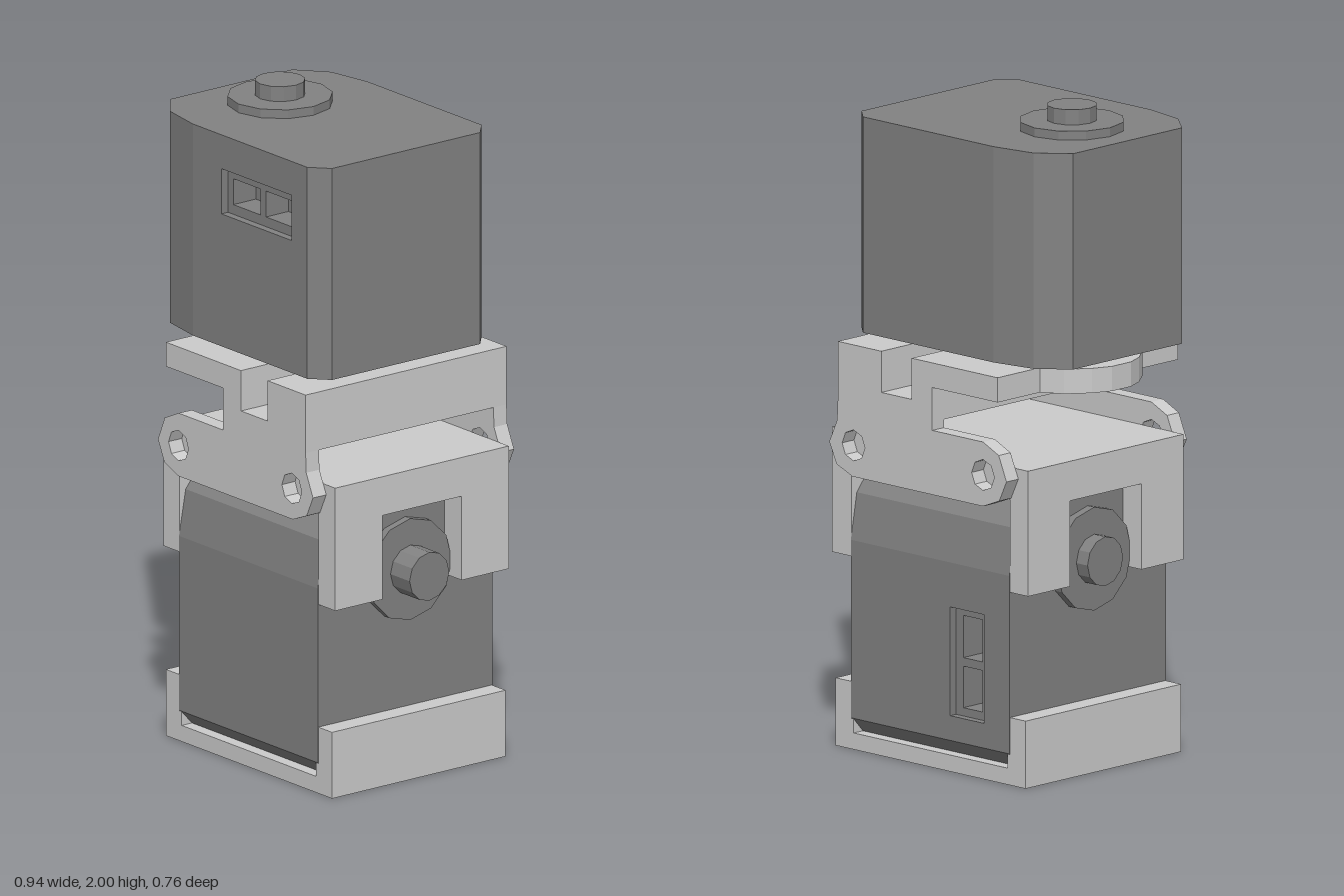
import * as THREE from 'three';

const light = new THREE.MeshStandardMaterial({ color: 0xcccccc, flatShading: true });
const dark = new THREE.MeshStandardMaterial({ color: 0x828282, flatShading: true });

function add(parent, name, geometry, material) {
  const mesh = new THREE.Mesh(geometry, material);
  mesh.name = name;
  parent.add(mesh);
  return mesh;
}

const outline = (pts) => new THREE.Shape(pts.map(([x, y]) => new THREE.Vector2(x, y)));

// x-y outline extruded from z0 to z1
const alongZ = (shape, z0, z1) =>
  new THREE.ExtrudeGeometry(shape, { depth: z1 - z0, bevelEnabled: false, curveSegments: 4 }).translate(0, 0, z0);

// x-z outline extruded from y0 to y1
const alongY = (pts, y0, y1) =>
  alongZ(outline(pts.map(([x, z]) => [x, -z])), y0, y1).rotateX(-Math.PI / 2);

// z-y outline (symmetric in z) extruded from x0 to x1
const alongX = (pts, x0, x1) => alongZ(outline(pts), x0, x1).rotateY(Math.PI / 2);

function rectHole(shape, x0, x1, y0, y1) {
  shape.holes.push(new THREE.Path([[x0, y0], [x0, y1], [x1, y1], [x1, y0]].map(([x, y]) => new THREE.Vector2(x, y))));
}

// Servo motor: output axis is local y, body stands on local y = 0
function createServo(name) {
  const servo = new THREE.Group();
  servo.name = name;
  const H = 0.655, y0 = 0.41, y1 = 0.55, x0 = 0.135, x1 = 0.465;
  const back = [[0.595, 0.28], [0.595, -0.28], [0.54, -0.33], [0, -0.33], [-0.14, -0.305],
    [-0.23, -0.23], [-0.23, 0.23], [-0.14, 0.305], [0, 0.33]];
  const full = [...back, [0.54, 0.33]];
  const notched = [...back, [x0, 0.33], [x0, 0.22], [x1, 0.22], [x1, 0.33], [0.54, 0.33]];

  // Body in three layers, the middle one notched for the socket
  add(servo, 'bodyLower', alongY(full, 0, y0), dark);
  add(servo, 'bodyMiddle', alongY(notched, y0, y1), dark);
  add(servo, 'bodyUpper', alongY(full, y1, H), dark);

  // Twin socket insert
  const insert = outline([[x0, y0], [x1, y0], [x1, y1], [x0, y1]]);
  rectHole(insert, 0.16, 0.288, 0.44, 0.52);
  rectHole(insert, 0.314, 0.44, 0.44, 0.52);
  add(servo, 'socketInsert', alongZ(insert, 0.22, 0.305), dark);

  // Horn discs and shaft
  for (const [part, r, a, b] of [['hornDiscs', 0.157, -0.025, H + 0.027], ['outputShaft', 0.075, -0.115, H + 0.073]]) {
    add(servo, part, new THREE.CylinderGeometry(r, r, b - a, 12).translate(0, (a + b) / 2, 0), dark);
  }
  return servo;
}

export function createModel() {
  const model = new THREE.Group();
  model.name = 'servoArm';

  // Upper servo, axis upright
  const upper = createServo('upperServo');
  upper.position.set(-0.24, 1.272, 0);
  model.add(upper);

  // Lower servo, axis across the model with the nose up
  const lower = createServo('lowerServo');
  lower.quaternion.setFromRotationMatrix(new THREE.Matrix4().makeBasis(
    new THREE.Vector3(0, -1, 0), new THREE.Vector3(-1, 0, 0), new THREE.Vector3(0, 0, -1)));
  lower.position.set(0.35, 0.635, 0);
  model.add(lower);

  // Base cradle
  add(model, 'baseCradle', alongZ(outline([[-0.37, 0], [0.415, 0], [0.415, 0.205], [0.34, 0.205],
    [0.34, 0.05], [-0.295, 0.05], [-0.295, 0.205], [-0.37, 0.205]]), -0.328, 0.328), light);

  // Hinge yoke: top plate and two slotted cheeks
  const yoke = new THREE.Group();
  yoke.name = 'hingeYoke';
  model.add(yoke);
  add(yoke, 'yokeTop', new THREE.BoxGeometry(0.655, 0.098, 0.656).translate(0.0225, 0.916, 0), light);
  const cheek = [[-0.328, 0.585], [-0.15, 0.585], [-0.15, 0.845], [0.15, 0.845], [0.15, 0.585],
    [0.328, 0.585], [0.328, 0.965], [-0.328, 0.965]];
  add(yoke, 'yokeRightCheek', alongX(cheek, -0.38, -0.305), light);
  add(yoke, 'yokeLeftCheek', alongX(cheek, 0.35, 0.43), light);

  // Upper bracket: notched deck
  const bracket = new THREE.Group();
  bracket.name = 'upperBracket';
  model.add(bracket);
  add(bracket, 'deck', alongZ(outline([[-0.035, 1.065], [0.355, 1.065], [0.355, 1.245], [0.175, 1.245],
    [0.175, 1.12], [0.05, 1.12], [0.05, 1.245], [-0.305, 1.245], [-0.305, 1.17], [-0.035, 1.17]]), -0.38, 0.38), light);

  // Rounded tongue under the upper horn
  add(bracket, 'tongue', alongY([[-0.305, 0.2], [-0.37, 0.165], [-0.42, 0.1], [-0.445, 0.04],
    [-0.445, -0.04], [-0.42, -0.1], [-0.37, -0.165], [-0.305, -0.2]], 1.17, 1.245), light);

  // Side plates with two screw holes each
  for (const [name, z] of [['frontPlate', 0.33], ['backPlate', -0.38]]) {
    const plate = outline([[-0.245, 0.845], [0.295, 0.845], [0.36, 0.872], [0.39, 0.935], [0.358, 1.005],
      [0.355, 1.065], [-0.035, 1.065], [-0.035, 1.04], [-0.245, 1.04], [-0.31, 1.01], [-0.342, 0.935], [-0.312, 0.872]]);
    for (const x of [-0.245, 0.29]) {
      plate.holes.push(new THREE.Path().absarc(x, 0.94, 0.047, 0, Math.PI * 2, true));
    }
    add(bracket, name, alongZ(plate, z, z + 0.05), light);
  }
  return model;
}
